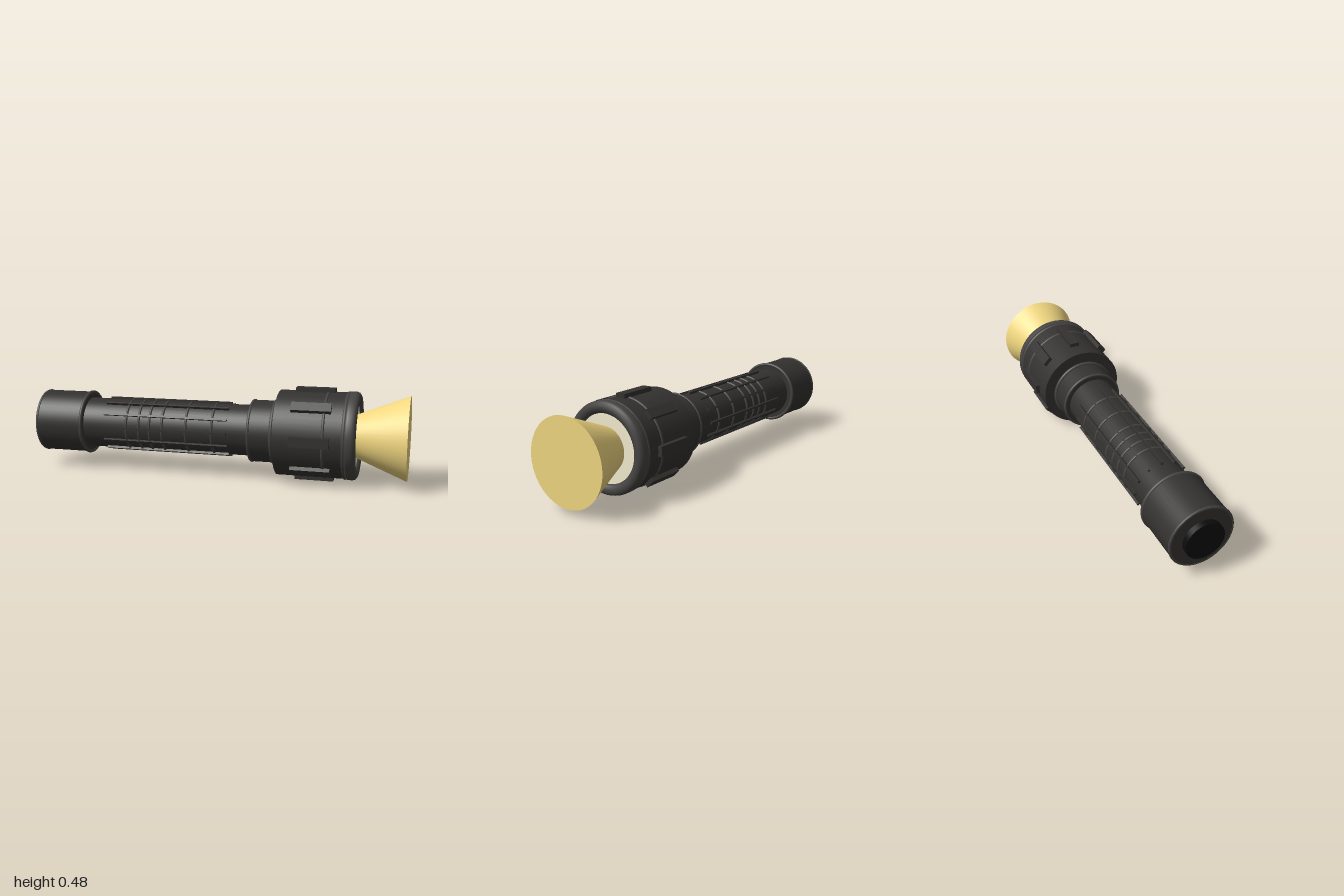
import * as THREE from 'three';

const mat = (color) => new THREE.MeshStandardMaterial({ color });

export function createModel() {
  const model = new THREE.Group();
  model.name = 'flashlight';

  // Everything is built along +y, then the axis is laid down towards +x
  const axis = new THREE.Group();
  axis.name = 'flashlightAxis';
  axis.rotation.z = -Math.PI / 2;
  axis.position.y = 0.24;
  model.add(axis);

  const dark = mat(0x333230), trim = mat(0x444341), black = mat(0x0c0c0c);
  const cream = mat(0xf3ecd0), yellow = mat(0xf0d680);

  const add = (name, geometry, material, along = 0, parent = axis) => {
    const mesh = new THREE.Mesh(geometry, material);
    mesh.name = name;
    mesh.position.y = along;
    parent.add(mesh);
    return mesh;
  };
  // Solid of revolution between two stations on the axis
  const tube = (name, from, to, r0, r1, material) =>
    add(name, new THREE.CylinderGeometry(r1, r0, to - from, 48), material, (from + to) / 2);
  const ring = (name, along, radius, thickness, material = trim) => {
    const geometry = new THREE.TorusGeometry(radius, thickness, 12, 64);
    geometry.rotateX(Math.PI / 2);
    return add(name, geometry, material, along);
  };
  // Boxes repeated around the axis
  const around = (name, count, size, radius, along) => {
    for (let i = 0; i < count; i++) {
      const pivot = new THREE.Group();
      pivot.name = name + 'Pivot';
      pivot.rotation.y = (i / count) * Math.PI * 2;
      axis.add(pivot);
      add(name, new THREE.BoxGeometry(...size), dark, along, pivot).position.x = radius;
    }
  };

  // Tail cap with its switch
  tube('tailButton', -1, -0.94, 0.1, 0.1, black);
  tube('tailCap', -0.97, -0.705, 0.165, 0.165, dark);
  ring('tailCapRing', -0.963, 0.16, 0.008);
  ring('tailCapRing', -0.71, 0.163, 0.009);

  // Barrel with a ribbed grip
  tube('barrel', -0.72, 0.22, 0.133, 0.133, dark);
  around('gripRib', 12, [0.022, 0.68, 0.011], 0.134, -0.25);
  for (const x of [-0.46, -0.39, -0.33, -0.26, -0.13, 0.01]) ring('gripRing', x, 0.133, 0.007);

  // Neck
  tube('neck', 0.2, 0.35, 0.161, 0.161, dark);
  ring('neckRing', 0.207, 0.157, 0.008);
  ring('neckRing', 0.327, 0.162, 0.01);

  // Head with raised grip blocks
  tube('head', 0.345, 0.7, 0.22, 0.22, dark);
  around('headBlock', 8, [0.04, 0.2, 0.05], 0.22, 0.53);
  ring('headRing', 0.595, 0.217, 0.008);
  ring('headRing', 0.695, 0.215, 0.01);

  // Rounded bezel around the lens
  const bezel = [[0.165, 0.7], [0.222, 0.7], [0.225, 0.71], [0.225, 0.732], [0.22, 0.746],
    [0.208, 0.754], [0.192, 0.755], [0.177, 0.748], [0.168, 0.738], [0.165, 0.7]];
  add('bezel', new THREE.LatheGeometry(bezel.map(([r, y]) => new THREE.Vector2(r, y)), 64), trim);
  tube('lens', 0.69, 0.738, 0.168, 0.168, cream);

  // Light beam
  tube('lightBeam', 0.735, 1, 0.108, 0.214, yellow);

  return model;
}
